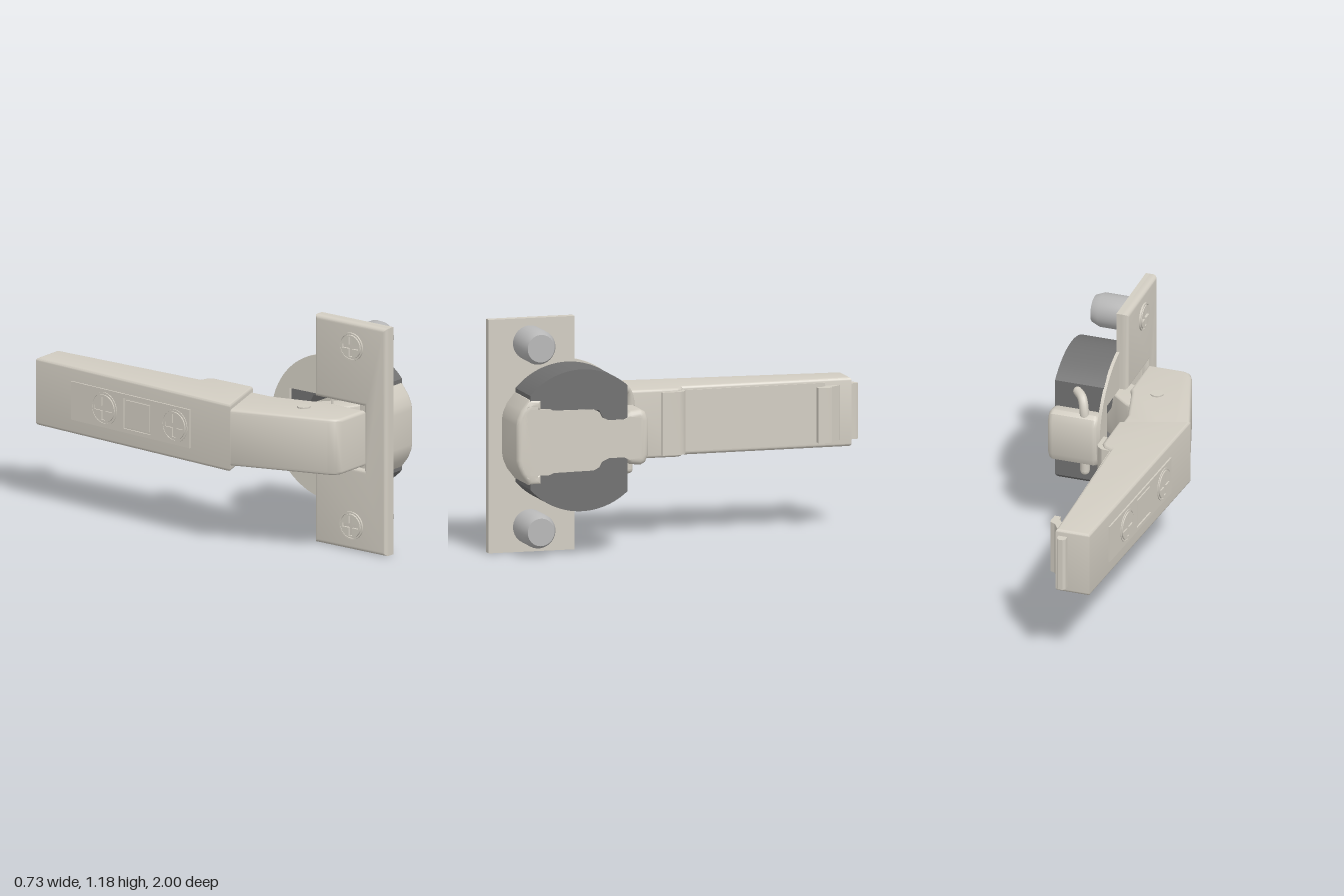
import * as THREE from 'three';
import { toCreasedNormals } from 'three/addons/utils/BufferGeometryUtils.js';

const mat = (color) => new THREE.MeshStandardMaterial({ color, side: THREE.DoubleSide });
const MID = 0.595; // height of the hinge axis

export function createModel() {
  const model = new THREE.Group();
  const shell = mat(0xd2cdc2), plastic = mat(0x707070), peg = mat(0xb8b8b8);

  function add(geometry, name, material = shell, parent = model) {
    const mesh = new THREE.Mesh(toCreasedNormals(geometry, 0.6), material);
    mesh.name = name;
    parent.add(mesh);
    return mesh;
  }

  function extrude(shape, depth, bevel) {
    return new THREE.ExtrudeGeometry(shape, {
      depth: depth - 2 * bevel, curveSegments: 32, bevelEnabled: bevel > 0,
      bevelThickness: bevel, bevelSize: bevel, bevelOffset: -bevel, bevelSegments: 4,
    }).translate(0, 0, bevel);
  }
  const path = (points, Kind = THREE.Shape) =>
    new Kind(points.map(([a, b]) => new THREE.Vector2(-a, b)));

  // Outline of (z, y) points, extruded along x
  const alongX = (points, x0, x1, bevel = 0, hole) => {
    const shape = path(points);
    if (hole) shape.holes.push(path(hole, THREE.Path));
    return extrude(shape, x1 - x0, bevel).rotateY(Math.PI / 2).translate(x0, 0, 0);
  };
  // Outline of (x, z) points, extruded along y, centred on the hinge axis
  const alongY = (points, half, bevel = 0) =>
    extrude(new THREE.Shape(points.map(([x, z]) => new THREE.Vector2(x, -z))), half * 2, bevel)
      .rotateX(-Math.PI / 2).translate(0, MID - half, 0);
  // Half outline of (z, half height), mirrored about the hinge axis
  const mirrored = (half) => [
    ...half.map(([z, h]) => [z, MID + h]),
    ...half.slice().reverse().map(([z, h]) => [z, MID - h]),
  ];
  const arc = (z, y, r, a0, a1, n = 40) => Array.from({ length: n + 1 }, (_, i) => {
    const a = a0 + (a1 - a0) * i / n;
    return [z + r * Math.cos(a), y + r * Math.sin(a)];
  });
  const rect = (z0, z1, y0, y1) => [[z0, y0], [z1, y0], [z1, y1], [z0, y1]];

  // Cross-slotted screw head facing -x
  function screw(name, r, x, y, z, parent = model) {
    const group = new THREE.Group();
    group.name = name;
    const w = r * 0.14, l = r * 0.7;
    const cross = [[w, l], [w, w], [l, w], [l, -w], [w, -w], [w, -l],
      [-w, -l], [-w, -w], [-l, -w], [-l, w], [-w, w], [-w, l]];
    const circle = (radius) => arc(0, 0, radius, 0, Math.PI * 2, 32).slice(0, -1);
    add(alongX(circle(r * 0.84), -0.012, 0.01, 0, cross), 'screwHead', shell, group);
    add(alongX(circle(r * 0.84), 0.002, 0.012), 'slotFloor', shell, group);
    add(alongX(circle(r), -0.009, 0.01, 0, circle(r * 0.9)), 'screwRim', shell, group);
    group.position.set(x, y, z);
    parent.add(group);
  }

  // Long arm and angled knuckle
  add(alongY([[-0.28, -0.96], [-0.1, -0.96], [-0.085, -0.07], [-0.045, -0.055], [-0.028, -0.03],
    [-0.028, 0.215], [-0.368, 0.33]], 0.175, 0.015), 'arm');
  add(alongY([[-0.03, 0.15], [-0.03, 0.34], [0.03, 0.57], [0.045, 0.6], [0.045, 0.87],
    [-0.15, 0.87], [-0.185, 0.855], [-0.205, 0.82], [-0.367, 0.32], [-0.345, 0.15]], 0.146, 0.018), 'knuckle');
  add(alongY([[-0.11, -0.82], [-0.094, -0.82], [-0.075, -0.05], [-0.11, -0.05]], 0.155), 'innerStrip');
  add(new THREE.CylinderGeometry(0.033, 0.033, 0.306, 32).translate(-0.1, MID, 0.59), 'pivotPin');

  // Folded lip, release clip and end tab
  add(alongY([[-0.1, -0.07], [-0.035, -0.07], [-0.008, -0.05], [0, -0.03], [0, 0.06],
    [-0.02, 0.06], [-0.022, -0.02], [-0.04, -0.045], [-0.1, -0.045]], 0.16), 'innerLip');
  add(alongY([[-0.11, -0.9], [-0.085, -0.89], [-0.055, -0.845], [-0.03, -0.835], [-0.024, -0.815],
    [-0.028, -0.765], [-0.06, -0.765], [-0.064, -0.795], [-0.085, -0.82], [-0.11, -0.83]], 0.14), 'releaseClip');
  add(alongY([[-0.162, -0.94], [-0.162, -0.985], [-0.15, -1], [-0.125, -1], [-0.115, -0.985],
    [-0.115, -0.94]], 0.142), 'endTab');

  // Outer face: panel with window, and two adjusting screws
  const face = new THREE.Group();
  face.name = 'outerFace';
  face.position.set(-0.314, MID, -0.5);
  face.rotation.y = -0.069;
  add(alongX(rect(-0.22, 0.57, -0.1, 0.1), -0.005, 0.01, 0, rect(0.13, 0.31, -0.08, 0.08)), 'panel', shell, face);
  add(alongX(rect(0.14, 0.3, -0.07, 0.07), -0.004, 0.01), 'windowPlate', shell, face);
  for (const z of [0, 0.47]) screw('adjustingScrew', 0.085, 0, 0, z, face);
  model.add(face);

  // Mounting plate with a slot for the cup, and the thin round flange
  const plate = [[1, 0], [0.55, 0], [0.55, 0.43], [0.86, 0.43], [0.86, 0.76], [0.55, 0.76], [0.55, 1.185], [1, 1.185]];
  add(alongX(plate, 0.04, 0.1, 0.02), 'mountingPlate');
  add(alongX(plate, 0.07, 0.102), 'plateBack');
  add(alongX(arc(0.625, MID, 0.38, Math.PI / 2, Math.PI * 1.5), 0.085, 0.102, 0,
    rect(0.36, 0.62, 0.43, 0.76)), 'flange');

  // Two fixing pegs with screws behind them
  for (const y of [0.127, 1.06]) {
    const profile = [[0, 0.09], [0.088, 0.09], [0.088, 0.255], [0.07, 0.298], [0, 0.298]];
    add(new THREE.LatheGeometry(profile.map(([r, h]) => new THREE.Vector2(r, h)), 40)
      .rotateZ(-Math.PI / 2).translate(0, y, 0.785), 'fixingPeg', peg);
    screw('plateScrew', 0.072, 0.04, y, 0.785);
  }

  // Dark cup halves: segments of a circle with flat ends
  const rim = arc(0.59, MID, 0.36, Math.acos(0.75), Math.acos(-0.667));
  const segment = [...rim, [0.35, 0.69], [0.47, 0.69], [0.5, 0.745], [0.86, 0.755]];
  add(alongX(segment, 0.1, 0.358), 'cupHalf', plastic);
  add(alongX(segment.map(([z, y]) => [z, 2 * MID - y]), 0.1, 0.358), 'cupHalf', plastic);

  // Pale cup floor and its end lobes
  add(alongX(mirrored([[0.9, 0.13], [0.86, 0.168], [0.76, 0.168], [0.74, 0.158], [0.53, 0.155],
    [0.5, 0.14], [0.485, 0.112], [0.45, 0.096], [0.37, 0.096], [0.34, 0.11], [0.28, 0.1]]), 0.33, 0.365), 'cupFloor');
  add(alongX(mirrored([[0.93, 0.09], [0.925, 0.12], [0.905, 0.165], [0.865, 0.217], [0.8, 0.217],
    [0.8, 0.16], [0.855, 0.16]]), 0.06, 0.365, 0.022), 'frontLobe');
  add(alongX(mirrored([[0.238, 0.09], [0.255, 0.128], [0.28, 0.142], [0.335, 0.135], [0.37, 0.105]]),
    0.098, 0.365, 0.03), 'rearLobe');

  // Links from the knuckle into the cup
  add(alongY([[-0.01, 0.46], [0.03, 0.48], [0.1, 0.54], [0.24, 0.66], [0.33, 0.68],
    [0.33, 0.75], [0.2, 0.76], [0, 0.66]], 0.125, 0.01), 'hingeLink');

  // Bent wire of the damper switch
  const wire = new THREE.CatmullRomCurve3([[0.235, 0.825, 0.345], [0.2, 0.81, 0.31],
    [0.18, 0.74, 0.285], [0.18, 0.6, 0.295], [0.18, 0.41, 0.295]].map((p) => new THREE.Vector3(...p)));
  add(new THREE.TubeGeometry(wire, 40, 0.024, 12), 'switchWire');
  for (const t of [0, 1]) {
    const p = wire.getPoint(t);
    add(new THREE.SphereGeometry(0.024, 16, 10).translate(p.x, p.y, p.z), 'wireEnd');
  }
  return model;
}
